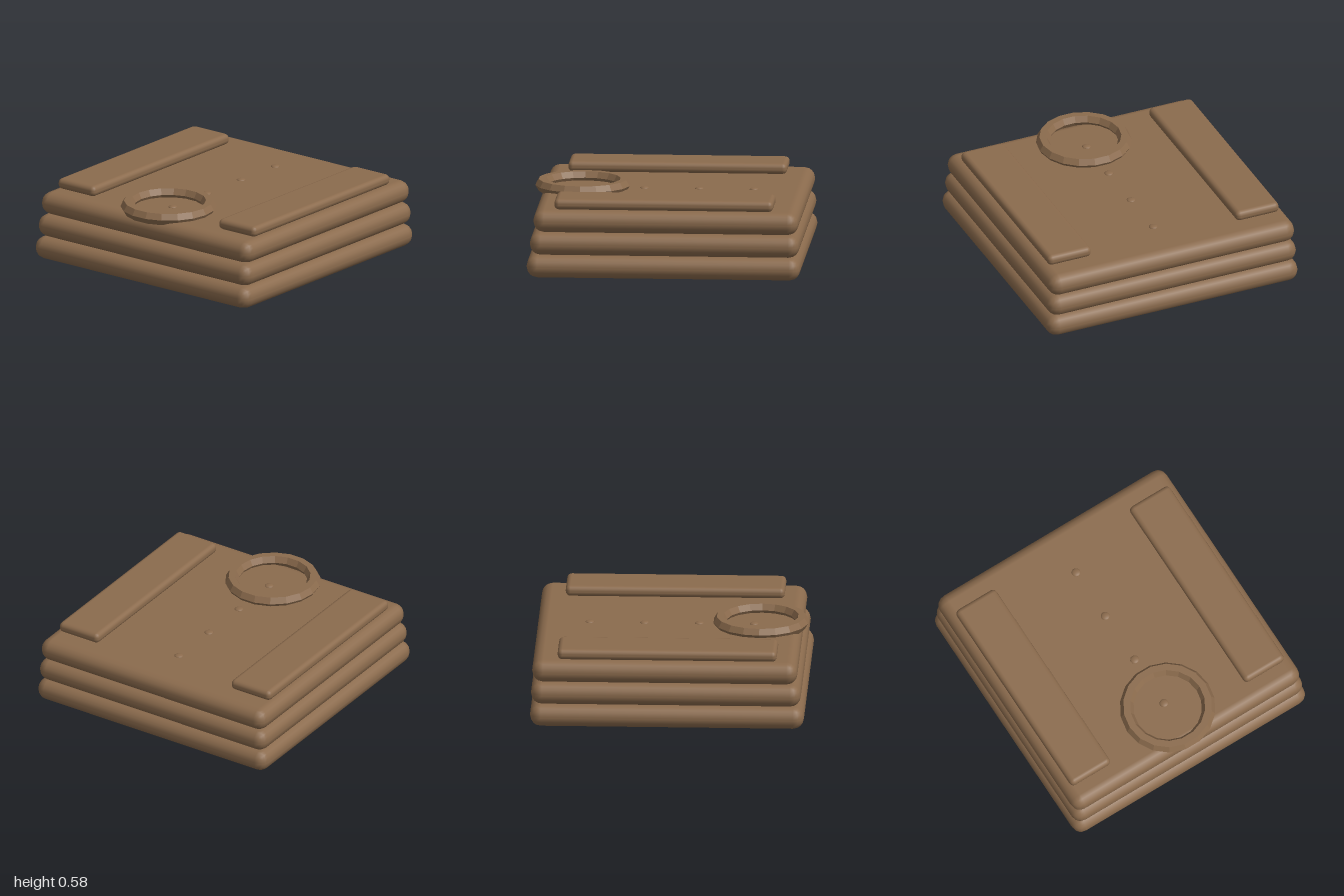
import * as THREE from 'three';
import { RoundedBoxGeometry } from 'three/addons/geometries/RoundedBoxGeometry.js';

export function createModel() {
  const model = new THREE.Group();
  const brown = new THREE.MeshStandardMaterial({ color: 0x8b6b4d });
  brown.name = 'brown';
  const add = (name, geometry, x, y, z) => {
    const mesh = new THREE.Mesh(geometry, brown);
    mesh.name = name;
    mesh.position.set(x, y, z);
    model.add(mesh);
    return mesh;
  };

  // Three stacked rounded slabs, each slightly smaller and set further back
  const slabs = [[2, -1, 1], [1.98, -0.993, 0.977], [1.96, -0.985, 0.952]];
  slabs.forEach(([width, back, front], i) => {
    add('slab' + (i + 1), new RoundedBoxGeometry(width, 0.167, front - back, 2, 0.08),
      0, 0.0835 + i * 0.1665, (back + front) / 2);
  });

  // Long raised pads along both sides
  for (const [name, side] of [['leftPad', 1], ['rightPad', -1]]) {
    add(name, new RoundedBoxGeometry(0.345, 0.08, 1.6, 2, 0.035), side * 0.75, 0.54, 0);
  }

  // Faceted ring at the front edge
  const ringGeometry = new THREE.TorusGeometry(0.3, 0.05, 6, 18).rotateX(Math.PI / 2).toNonIndexed();
  ringGeometry.computeVertexNormals();
  add('ring', ringGeometry, 0, 0.522, 0.65);

  // Low domed studs down the middle
  const studGeometry = new THREE.SphereGeometry(0.033, 16, 6, 0, Math.PI * 2, 0, Math.PI / 2).scale(1, 0.4, 1);
  for (let i = 0; i < 4; i++) add('stud' + (i + 1), studGeometry, 0, 0.499, -0.6 + i * 0.4);

  return model;
}
